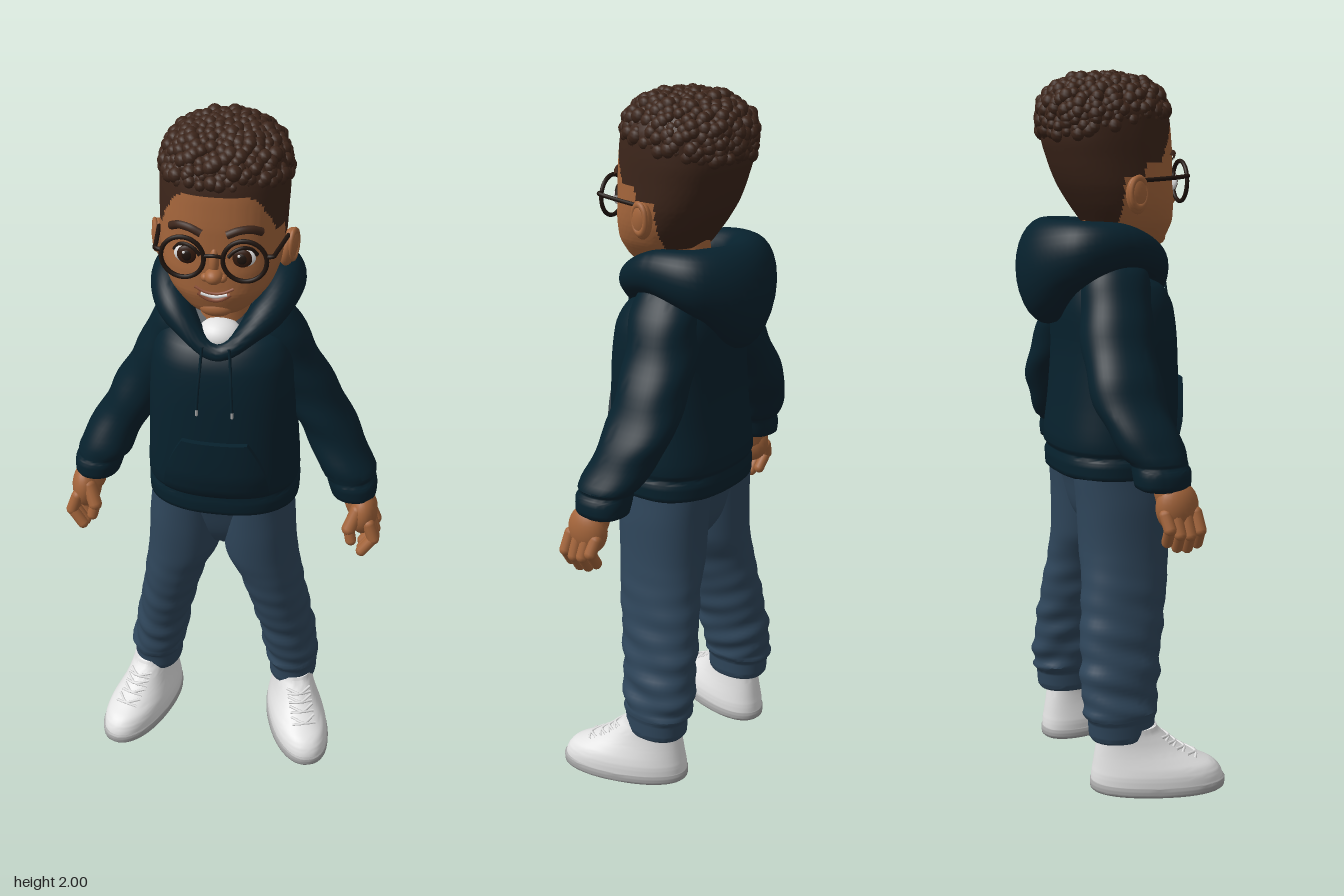
import * as THREE from 'three';
import { mergeGeometries, toCreasedNormals } from 'three/addons/utils/BufferGeometryUtils.js';

const mat = (name, color) => Object.assign(new THREE.MeshStandardMaterial({ color }), { name });
const V = (x, y, z) => new THREE.Vector3(x, y, z);

// Smooth monotone interpolation of a table of rows keyed by their first value
function sample(rows, y) {
  const n = rows.length - 1;
  let i = 0;
  while (i < n - 1 && y > rows[i + 1][0]) i++;
  const d = (k, c) => (rows[k + 1][c] - rows[k][c]) / (rows[k + 1][0] - rows[k][0]);
  const slope = (k, c) => {
    if (k === 0 || k === n) return 0;
    const a = d(k - 1, c), b = d(k, c);
    return a * b > 0 ? 2 * a * b / (a + b) : 0;
  };
  const h = rows[i + 1][0] - rows[i][0];
  const t = Math.min(1, Math.max(0, (y - rows[i][0]) / h)), t2 = t * t, t3 = t2 * t;
  return rows[i].map((v, c) => c === 0 ? y : (2 * t3 - 3 * t2 + 1) * v + (t3 - 2 * t2 + t) * h * slope(i, c)
    + (3 * t2 - 2 * t3) * rows[i + 1][c] + (t3 - t2) * h * slope(i + 1, c));
}

// Grid of points f(i, j); j wraps round, i wraps if asked; isSecond puts faces in material group 1
function grid(n, m, f, wrap, isSecond) {
  const pts = [], sets = [[], []];
  for (let i = 0; i < n; i++) for (let j = 0; j < m; j++) pts.push(f(i, j));
  for (let i = 0; i < (wrap ? n : n - 1); i++) for (let j = 0; j < m; j++) {
    const k = (i + 1) % n, l = (j + 1) % m;
    const a = i * m + j, b = k * m + j, c = i * m + l, d = k * m + l;
    const second = isSecond && isSecond(pts[a].clone().add(pts[d]).multiplyScalar(0.5));
    sets[second ? 1 : 0].push(a, b, c, b, d, c);
  }
  const g = new THREE.BufferGeometry().setFromPoints(pts);
  g.setIndex([...sets[0], ...sets[1]]);
  if (isSecond) {
    g.addGroup(0, sets[0].length, 0);
    g.addGroup(sets[0].length, sets[1].length, 1);
  }
  return toCreasedNormals(g, 0.9);
}

// Closed body from rows [y, centre x, half width, back z, front z]
function loft(rows, { p = 2.2, seg = 44, div = 4, s = 1, fold = () => 0, isSecond } = {}) {
  const ys = [];
  for (let i = 0; i < rows.length - 1; i++)
    for (let k = 0; k < div; k++) ys.push(rows[i][0] + (rows[i + 1][0] - rows[i][0]) * k / div);
  ys.push(rows[rows.length - 1][0]);
  const n = ys.length, pw = (v) => Math.sign(v) * Math.abs(v) ** (2 / p);
  return grid(n + 2, seg, (i, j) => {
    const y = ys[Math.min(n - 1, Math.max(0, i - 1))], cap = i === 0 || i === n + 1 ? 0 : 1;
    const [, cx, hw, z0, z1] = sample(rows, y), t = j / seg * Math.PI * 2, f = fold(y, t);
    return V(s * cx + cap * (hw + f) * pw(Math.cos(t)), y, (z0 + z1) / 2 + cap * ((z1 - z0) / 2 + f) * pw(Math.sin(t)));
  }, false, isSecond);
}

// Front z of a lofted body at x, y
function front(rows, x, y, p = 2.2) {
  const [, cx, hw, z0, z1] = sample(rows, y), q = Math.min(1, Math.abs((x - cx) / hw));
  return (z0 + z1) / 2 + (z1 - z0) / 2 * (1 - q ** p) ** (1 / p);
}

const HEAD = [[1.512, 0, 0.03, 0.04, 0.13], [1.53, 0, 0.075, 0, 0.163], [1.56, 0, 0.108, -0.035, 0.178],
  [1.6, 0, 0.137, -0.065, 0.188], [1.65, 0, 0.155, -0.1, 0.188], [1.7, 0, 0.162, -0.13, 0.184],
  [1.76, 0, 0.164, -0.155, 0.184], [1.82, 0, 0.166, -0.172, 0.18], [1.88, 0, 0.164, -0.175, 0.172],
  [1.94, 0, 0.135, -0.145, 0.14], [1.975, 0, 0.08, -0.09, 0.09]];
const TORSO = [[0.885, 0, 0.202, -0.145, 0.165], [0.893, 0, 0.215, -0.156, 0.176], [0.935, 0, 0.216, -0.158, 0.18],
  [0.95, 0, 0.209, -0.153, 0.178], [0.97, 0, 0.215, -0.163, 0.192], [1.1, 0, 0.208, -0.15, 0.198],
  [1.25, 0, 0.203, -0.14, 0.194], [1.35, 0, 0.195, -0.145, 0.183], [1.41, 0, 0.175, -0.14, 0.155],
  [1.45, 0, 0.145, -0.13, 0.09], [1.52, 0, 0.08, -0.1, 0.04]];
const SLEEVE = [[0.905, 0.375, 0.055, -0.045, 0.08], [0.913, 0.374, 0.064, -0.058, 0.092], [0.955, 0.366, 0.07, -0.063, 0.095],
  [0.967, 0.36, 0.068, -0.063, 0.09], [0.985, 0.352, 0.079, -0.078, 0.09], [1.05, 0.32, 0.078, -0.11, 0.075],
  [1.12, 0.28, 0.078, -0.137, 0.063], [1.2, 0.232, 0.086, -0.14, 0.06], [1.3, 0.168, 0.095, -0.13, 0.068],
  [1.4, 0.128, 0.09, -0.115, 0.08], [1.47, 0.11, 0.066, -0.09, 0.07], [1.505, 0.1, 0.03, -0.05, 0.03]];
const LEG = [[0.155, 0.217, 0.069, -0.125, 0.05], [0.163, 0.217, 0.073, -0.13, 0.055], [0.212, 0.217, 0.074, -0.135, 0.06],
  [0.228, 0.213, 0.081, -0.148, 0.068], [0.3, 0.203, 0.08, -0.148, 0.075], [0.4, 0.184, 0.081, -0.143, 0.09],
  [0.5, 0.162, 0.085, -0.134, 0.11], [0.6, 0.14, 0.092, -0.122, 0.127], [0.69, 0.114, 0.106, -0.119, 0.14],
  [0.8, 0.106, 0.107, -0.122, 0.148], [0.92, 0.1, 0.103, -0.13, 0.15]];
const PELVIS = [[0.69, 0, 0.015, -0.03, 0.04], [0.72, 0, 0.08, -0.06, 0.075], [0.78, 0, 0.15, -0.095, 0.11],
  [0.86, 0, 0.19, -0.115, 0.135], [0.92, 0, 0.2, -0.13, 0.15]];
const SOLE = [[0, 0, 0.083, -0.167, 0.202], [0.007, 0, 0.09, -0.174, 0.21], [0.028, 0, 0.09, -0.175, 0.212], [0.034, 0, 0.085, -0.17, 0.206]];
const UPPER = [[0.025, 0, 0.086, -0.172, 0.207], [0.05, 0, 0.086, -0.171, 0.201], [0.075, 0, 0.081, -0.167, 0.181],
  [0.095, 0, 0.074, -0.164, 0.14], [0.12, 0, 0.066, -0.16, 0.09], [0.15, 0, 0.06, -0.155, 0.05], [0.19, 0, 0.057, -0.15, 0.015]];
// Hood rows: [fraction from front to back, radius in x, z, y, thickness, half height]
const HOOD = [[0, 0.148, 0.146, 1.402, 0.026, 0.026], [0.25, 0.15, 0.1, 1.487, 0.045, 0.048], [0.5, 0.152, -0.01, 1.53, 0.053, 0.062],
  [0.75, 0.165, -0.122, 1.505, 0.075, 0.095], [1, 0.165, -0.168, 1.455, 0.085, 0.145]];

export function createModel() {
  const root = new THREE.Group();
  root.name = 'boy';
  const skin = mat('skin', 0xa4653b), hair = mat('hair brown', 0x3c251a), navy = mat('hoodie navy', 0x07212d);
  const denim = mat('denim', 0x2f465b), white = mat('white', 0xe2e2e2), grey = mat('sole grey', 0xa8a8a8);
  const black = mat('frame black', 0x1f140e), iris = mat('eye brown', 0x331a0e), lip = mat('lip', 0x8f5037);

  const add = (name, geo, material, parent = root) => {
    const m = new THREE.Mesh(geo, material);
    m.name = name;
    parent.add(m);
    return m;
  };
  const ball = (name, material, c, r, parent) => {
    const m = add(name, new THREE.SphereGeometry(1, 24, 16), material, parent);
    m.position.set(...c);
    m.scale.set(...r);
    return m;
  };
  const rod = (name, material, a, b, r, parent) => {
    const d = b.clone().sub(a), m = add(name, new THREE.CapsuleGeometry(r, d.length(), 5, 12), material, parent);
    m.position.copy(a).add(b).multiplyScalar(0.5);
    m.quaternion.setFromUnitVectors(V(0, 1, 0), d.normalize());
    return m;
  };
  const tube = (name, material, pts, r, parent) =>
    add(name, new THREE.TubeGeometry(new THREE.CatmullRomCurve3(pts), 20, r, 8), material, parent);

  // Head with faded hair at the sides and back
  const faded = ({ y, z }) => y > 1.86 || (y > 1.75 ? z < 0.105 + (y - 1.75) * 0.5 : y > 1.715 ? z < 0.055 : y > 1.58 && z < -0.005);
  add('head', loft(HEAD, { p: 2.35, seg: 128, div: 8, isSecond: faded }), [skin, hair]);
  add('neck', new THREE.CylinderGeometry(0.07, 0.08, 0.2, 24), skin).position.set(0, 1.5, 0.01);

  // Tight curls of uneven size spread over the crown
  let seed = 7;
  const rnd = () => (seed = (seed * 16807) % 2147483647) / 2147483647;
  const curls = [], N = 620;
  for (let i = 0; i < N; i++) {
    const y = 1 - 2 * (i + 0.5) / N, a = i * 2.39996 + 0.12 * rnd(), r = Math.sqrt(1 - y * y);
    const d = V(r * Math.cos(a), y, r * Math.sin(a));
    if (y < 0.25 * d.z - 0.15 + 0.08 * (rnd() - 0.5)) continue;
    const k = (Math.abs(d.x) ** 2.4 + Math.abs(y) ** 2.4 + Math.abs(d.z) ** 2.4) ** (-1 / 2.4) * (0.94 + 0.07 * rnd());
    const size = 0.014 + 0.008 * rnd();
    curls.push(new THREE.SphereGeometry(size, 9, 7).translate(d.x * k * 0.155, 1.868 + y * k * 0.114, -0.005 + d.z * k * 0.172));
  }
  add('curls', mergeGeometries(curls), hair);

  // Face
  const face = (x, y, out = 0) => V(x, y, front(HEAD, x, y, 2.35) + out);
  ball('nose', skin, [0, 1.65, 0.188], [0.024, 0.021, 0.028]);
  ball('nose bridge', skin, [0, 1.685, 0.178], [0.014, 0.04, 0.018]);
  ball('chin', skin, [0, 1.545, 0.155], [0.045, 0.025, 0.025]);
  tube('upper lip', lip, [-0.05, -0.025, 0, 0.025, 0.05].map((x) => face(x, 1.6 + x * x * 6, 0)), 0.004);
  tube('teeth', white, [-0.034, 0, 0.034].map((x) => face(x, 1.592 + x * x * 6, 0.001)), 0.005);
  tube('lower lip', lip, [-0.042, -0.02, 0, 0.02, 0.042].map((x) => face(x, 1.58 + x * x * 11, 0)), 0.006);
  for (const s of [-1, 1]) {
    ball('nostril', skin, [s * 0.021, 1.645, 0.185], [0.013, 0.012, 0.015]);
    const e = face(s * 0.07, 1.7);
    ball('eye white', white, [e.x, e.y, e.z - 0.002], [0.034, 0.026, 0.01]);
    ball('iris', iris, [e.x, e.y, e.z + 0.003], [0.026, 0.025, 0.009]);
    ball('pupil', black, [e.x, e.y, e.z + 0.007], [0.015, 0.016, 0.007]);
    ball('eye glint', white, [e.x - 0.007, e.y + 0.009, e.z + 0.012], [0.004, 0.004, 0.003]);
    tube('eyelid', black, [0.036, 0.052, 0.072, 0.092, 0.106].map((x, i) => face(s * x, 1.7 + [0.004, 0.021, 0.028, 0.022, 0.004][i], 0.004)), 0.005);
    tube('eyebrow', hair, [0.032, 0.06, 0.09, 0.115].map((x, i) => face(s * x, 1.762 + [0, 0.011, 0.012, 0][i])), 0.011);
    const ear = ball('ear', skin, [s * 0.169, 1.667, 0.027], [0.022, 0.052, 0.034]);
    ear.rotation.set(-0.2, s * -0.25, s * -0.15);
    const rim = add('ear rim', new THREE.TorusGeometry(0.026, 0.007, 8, 24), skin);
    rim.position.set(s * 0.182, 1.674, 0.027);
    rim.scale.set(1, 1.45, 1);
    rim.rotation.y = s * 1.3;

    // Glasses
    const lens = add('lens frame', new THREE.TorusGeometry(0.055, 0.006, 10, 40), black);
    lens.position.set(s * 0.079, 1.7, 0.194);
    lens.rotation.y = s * 0.06;
    tube('glasses arm', black, [V(s * 0.133, 1.715, 0.19), V(s * 0.148, 1.716, 0.188), V(s * 0.154, 1.712, 0.15), V(s * 0.17, 1.705, 0.03)], 0.006);
  }
  tube('glasses bridge', black, [V(-0.026, 1.708, 0.197), V(0, 1.714, 0.204), V(0.026, 1.708, 0.197)], 0.005);

  // Hoodie
  const soft = (y, t) => y > 0.98 ? 0.003 * Math.sin(y * 45 + 2 * Math.cos(t)) : 0;
  add('hoodie body', loft(TORSO, { p: 2.4, seg: 64 }), navy);
  ball('undershirt', white, [0, 1.432, 0.095], [0.06, 0.044, 0.052]);
  add('hood', grid(72, 28, (i, j) => {
    const a = i / 72 * 2 * Math.PI, b = j / 28 * 2 * Math.PI;
    const [, r, z, y, w, h] = sample(HOOD, 1 - Math.abs(1 - i / 36));
    const out = w * Math.cos(b);
    return V((r + out) * Math.sin(a), y + h * Math.sin(b), z + out * Math.cos(a));
  }, true), navy);

  // Front pocket: a box bent over the belly, narrower at the top, flush at the hem
  const pocket = new THREE.BoxGeometry(1, 1, 1, 24, 10, 1), pp = pocket.attributes.position;
  for (let i = 0; i < pp.count; i++) {
    const t = pp.getY(i) + 0.5, y = 0.955 + 0.195 * t, x = pp.getX(i) * 2 * (0.15 - 0.06 * t * t);
    const puff = 0.003 + 0.013 * Math.min(1, t * 2.5);
    pp.setXYZ(i, x, y, front(TORSO, x, y, 2.4) + (pp.getZ(i) > 0 ? puff : -0.02));
  }
  add('pocket', toCreasedNormals(pocket, 0.9), navy);

  for (const s of [-1, 1]) {
    add('sleeve', loft(SLEEVE, { s, fold: soft }), navy);
    const cord = [1.43, 1.38, 1.32, 1.25].map((y, i) => {
      const x = 0.036 + 0.004 * i;
      return V(s * x, y, Math.max(front(TORSO, x, y, 2.4), i ? 0 : 0.165) + 0.004);
    });
    tube('drawstring', navy, cord, 0.004);
    rod('drawstring tip', grey, cord[3], cord[3].clone().add(V(0, -0.016, 0)), 0.004);

    // Hand
    const hand = new THREE.Group();
    hand.name = 'hand';
    root.add(hand);
    const P = (x, y, z) => V(s * x, y, z);
    rod('wrist', skin, P(0.378, 0.94, 0.025), P(0.395, 0.88, 0.035), 0.044, hand);
    ball('palm', skin, [s * 0.405, 0.86, 0.045], [0.042, 0.07, 0.06], hand);
    for (let i = 0; i < 4; i++) {
      const z = 0.09 - i * 0.029, dy = [0, -0.01, -0.006, 0.01][i];
      const k = P(0.425, 0.845, z), m = P(0.441, 0.8 + dy, z + 0.006), e = P(0.41, 0.757 + dy, z + 0.012);
      rod('finger base', skin, k, m, 0.0175, hand);
      rod('finger tip', skin, m, e, 0.016, hand);
    }
    rod('thumb base', skin, P(0.39, 0.88, 0.08), P(0.37, 0.83, 0.1), 0.02, hand);
    rod('thumb tip', skin, P(0.37, 0.83, 0.1), P(0.378, 0.795, 0.106), 0.016, hand);

    // Jeans leg with uneven folds toward the ankle
    const crease = (y, t) => y < 0.23 ? 0 : 0.008 * Math.max(0, 1 - (y - 0.23) / 0.45)
      * Math.sin(y * 75 + 2.5 * Math.cos(t + s)) * Math.sin(y * 21 + 2 * Math.sin(t) + s);
    add('jeans leg', loft(LEG, { s, div: 8, fold: crease }), denim).position.x = -0.006;

    // Shoe, turned outward
    const shoe = new THREE.Group();
    shoe.name = 'shoe';
    shoe.position.set(s * 0.243 - 0.01, 0, 0.042);
    shoe.rotation.y = s * 0.32;
    root.add(shoe);
    add('sole', loft(SOLE), grey, shoe);
    add('shoe upper', loft(UPPER), white, shoe);
    for (let i = 0; i < 4; i++) for (const d of [-1, 1]) {
      const lace = [-0.036, 0, 0.036].map((x) => {
        const y = 0.103 + i * 0.017 + d * x * 0.15;
        return V(x, y, front(UPPER, x, y) + 0.003);
      });
      tube('lace', white, lace, 0.004, shoe);
    }
  }
  add('jeans seat', loft(PELVIS, { p: 2.4 }), denim);
  return root;
}
